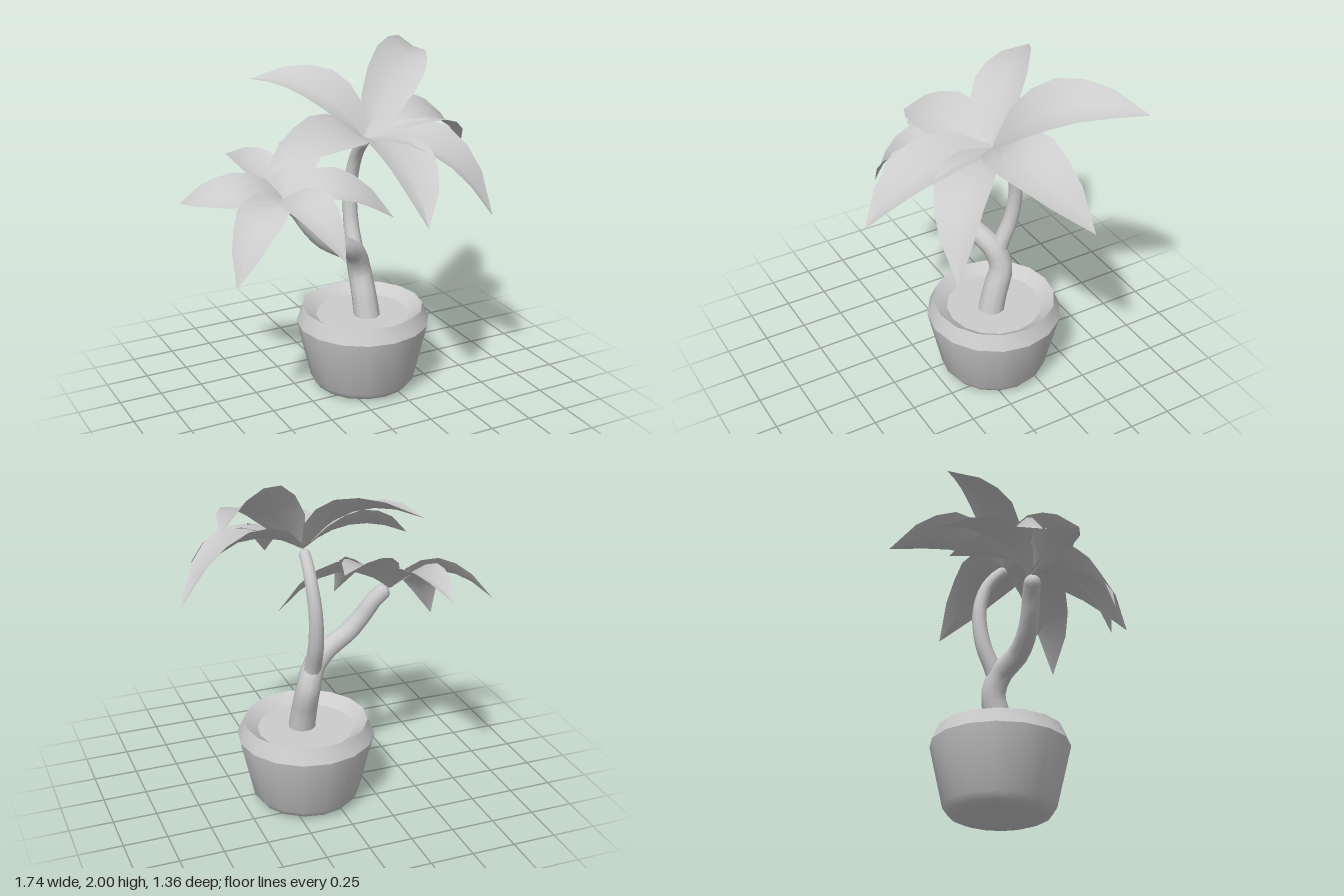
import * as THREE from 'three';
import { toCreasedNormals } from 'three/addons/utils/BufferGeometryUtils.js';

const V = (p) => new THREE.Vector3(...p);
const material = new THREE.MeshStandardMaterial({ color: 0xcccccc });
const leafMaterial = new THREE.MeshStandardMaterial({ color: 0xcccccc, side: THREE.DoubleSide });

function addMesh(parent, name, geometry, mat = material) {
  const mesh = new THREE.Mesh(geometry, mat);
  mesh.name = name;
  parent.add(mesh);
  return mesh;
}

// Tube that narrows evenly from r0 to r1, with a rounded tip
function addBranch(parent, name, points, r0, r1) {
  const path = new THREE.CatmullRomCurve3(points.map(V));
  const geo = new THREE.TubeGeometry(path, 16, r0, 10);
  const pos = geo.attributes.position;
  const v = new THREE.Vector3();
  for (let i = 0; i < pos.count; i++) {
    const u = geo.attributes.uv.getX(i);
    const centre = path.getPointAt(u);
    v.fromBufferAttribute(pos, i).sub(centre);
    v.multiplyScalar(THREE.MathUtils.lerp(1, r1 / r0, u)).add(centre);
    pos.setXYZ(i, v.x, v.y, v.z);
  }
  const branch = new THREE.Group();
  branch.name = name;
  addMesh(branch, name + 'Stem', geo);
  addMesh(branch, name + 'Tip', new THREE.SphereGeometry(r1, 10, 6)).position.copy(V(points.at(-1)));
  parent.add(branch);
}

// Half-widths along a leaf, as [position, share of the full half-width]
const LEAF_PROFILE = [[0, 0.12], [0.15, 0.75], [0.3, 0.96], [0.47, 1], [0.64, 0.83], [0.8, 0.58], [1, 0]];

// Arched leaf folded into a shallow V along its midrib; sway bends it sideways, roll lifts one edge
function leafGeometry(base, tip, up, halfWidth, arch, sway, roll) {
  const side = tip.clone().sub(base).cross(up).normalize();
  const control = base.clone().lerp(tip, 0.5).addScaledVector(up, arch * 2).addScaledVector(side, sway * 2);
  const midrib = new THREE.QuadraticBezierCurve3(base, control, tip);
  const positions = [];
  const index = [];
  LEAF_PROFILE.forEach(([t, share], row) => {
    const w = share * halfWidth;
    for (const s of [-1, 0, 1]) {
      const p = midrib.getPoint(t).addScaledVector(side, s * w);
      p.addScaledVector(up, w * (Math.abs(s) * 0.38 + s * roll));
      positions.push(p.x, p.y, p.z);
    }
    if (row === 0) return;
    for (const c of [0, 1]) {
      const a = (row - 1) * 3 + c;
      index.push(a, a + 1, a + 4, a, a + 4, a + 3);
    }
  });
  const geo = new THREE.BufferGeometry();
  geo.setAttribute('position', new THREE.Float32BufferAttribute(positions, 3));
  geo.setIndex(index);
  geo.computeVertexNormals();
  return geo;
}

// Ring of leaves around a tilted axis; each leaf is [tip x, y, z, half-width, arch, sway, roll]
function addCrown(parent, name, centre, axis, leaves) {
  const crown = new THREE.Group();
  crown.name = name;
  const up = V(axis).normalize();
  leaves.forEach(([x, y, z, halfWidth, arch, sway = 0, roll = 0], i) => {
    const geo = leafGeometry(V(centre), V([x, y, z]), up, halfWidth, arch, sway, roll);
    addMesh(crown, `${name}Leaf${i + 1}`, geo, leafMaterial);
  });
  parent.add(crown);
}

export function createModel() {
  const model = new THREE.Group();
  model.name = 'pottedPlant';

  // Pot with bevelled foot and rim
  const profile = [[0, 0], [0.23, 0], [0.28, 0.02], [0.31, 0.06], [0.39, 0.41], [0.352, 0.5], [0.268, 0.44]];
  const pot = new THREE.LatheGeometry(profile.map(([r, y]) => new THREE.Vector2(r, y)), 16);
  addMesh(model, 'pot', toCreasedNormals(pot, 0.6)).position.set(0.13, 0, -0.1);

  // Soil
  const soil = new THREE.CircleGeometry(0.275, 16).rotateX(-Math.PI / 2);
  addMesh(model, 'soil', soil).position.set(0.13, 0.445, -0.1);

  // Trunk bending into the low branch, and the tall branch forking off it
  addBranch(model, 'trunk', [
    [0.145, 0.42, -0.07], [0.14, 0.55, -0.1], [0.13, 0.71, -0.145], [0.085, 0.83, -0.115],
    [-0.02, 0.9, -0.06], [-0.14, 0.97, -0.05], [-0.23, 1.07, -0.06], [-0.28, 1.15, -0.075], [-0.33, 1.2, -0.085],
  ], 0.078, 0.048);
  addBranch(model, 'tallBranch', [
    [0.11, 0.78, -0.13], [0.105, 0.85, -0.155], [0.11, 1.0, -0.215], [0.12, 1.2, -0.237],
    [0.13, 1.36, -0.2], [0.13, 1.44, -0.15], [0.13, 1.49, -0.1],
  ], 0.05, 0.033);

  // Leaf crowns
  addCrown(model, 'upperCrown', [0.13, 1.52, -0.08], [0.12, 1, 0.45], [
    [0.1, 1.235, 0.68, 0.172, 0.13], [0.66, 1.135, 0.43, 0.165, 0.185], [0.87, 1.345, -0.25, 0.18, 0.185, 0, 0.2],
    [0.75, 1.87, -0.63, 0.155, 0.18, 0, -0.12], [-0.34, 1.8, -0.59, 0.158, 0.125, 0, 0.12],
    [-0.56, 1.465, 0.1, 0.155, 0.09],
  ]);
  addCrown(model, 'lowerCrown', [-0.37, 1.23, -0.11], [-0.2, 1, 0.45], [
    [-0.475, 1.35, -0.68, 0.118, 0.11, 0, -0.2], [-0.87, 1.2, -0.38, 0.125, 0.13, -0.09, 0.1],
    [-0.78, 0.89, 0.2, 0.135, 0.13], [-0.245, 1.02, 0.42, 0.125, 0.135],
    [0.22, 1.09, 0.1, 0.125, 0.15], [0.04, 1.49, -0.45, 0.13, 0.08],
  ]);

  return model;
}
